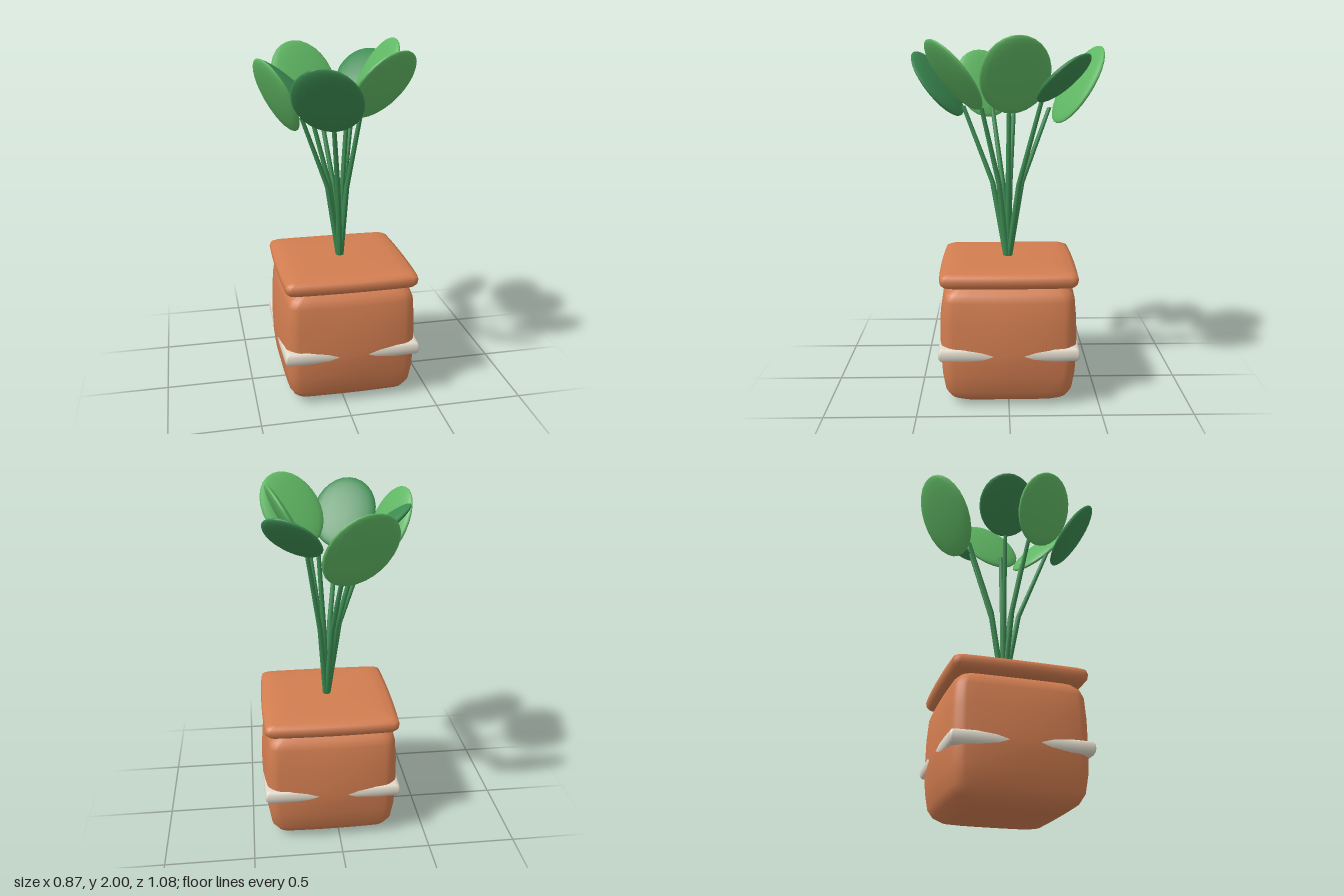
import * as THREE from 'three';

const mat = (name, color, side = THREE.FrontSide) => {
  const m = new THREE.MeshStandardMaterial({ color, side });
  m.name = name;
  return m;
};

// Rounded square outline: half width c at the corners, m at the bulging middle of each side
function outline(c, m, radius) {
  const r = Math.min(radius, c * 0.5), pts = [];
  for (let k = 0; k < 4; k++) {
    const side = [];
    for (let i = 0; i <= 8; i++) side.push([c, (c - r) * (i / 4 - 1)]);
    for (let i = 1; i < 4; i++) {
      const a = (i / 4) * Math.PI / 2;
      side.push([c - r + r * Math.cos(a), c - r + r * Math.sin(a)]);
    }
    for (let [x, z] of side) {
      for (let q = 0; q < k; q++) [x, z] = [-z, x];
      const b = (m - c) / c, u = x / c, v = z / c;
      pts.push([x + b * x * (1 - v * v), z + b * z * (1 - u * u)]);
    }
  }
  return pts;
}

// Skin of stacked outlines; each profile row is [y, corner half width, middle half width]
function loft(profile, radius) {
  const pos = [], index = [];
  let n = 0;
  for (const [y, c, m] of profile) {
    const ring = outline(c, m, radius);
    n = ring.length;
    for (const [x, z] of ring) pos.push(x, y, z);
  }
  for (let i = 0; i < profile.length - 1; i++) {
    for (let j = 0; j < n; j++) {
      const a = i * n + j, b = i * n + (j + 1) % n;
      index.push(a, a + n, b, b, a + n, b + n);
    }
  }
  const g = new THREE.BufferGeometry();
  g.setAttribute('position', new THREE.Float32BufferAttribute(pos, 3));
  g.setIndex(index);
  g.computeVertexNormals();
  return g;
}

export function createModel() {
  const terracotta = mat('terracotta', 0xd27d50);
  const cream = mat('cream', 0xe0d9ca);
  const lightGreen = mat('light green', 0x60b864);
  const darkGreen = mat('dark green', 0x3c8c52);

  const model = new THREE.Group();
  model.name = 'pottedPlant';
  const plant = new THREE.Group();
  plant.name = 'plant';
  plant.position.x = 0.04;
  const add = (name, geometry, material) => {
    const mesh = new THREE.Mesh(geometry, material);
    mesh.name = name;
    plant.add(mesh);
    return mesh;
  };

  // Pot body with softly swelling sides
  add('potBody', loft([
    [0, 0.001, 0.001], [0, 0.23, 0.24], [0.012, 0.28, 0.285], [0.04, 0.32, 0.33],
    [0.085, 0.345, 0.358], [0.18, 0.357, 0.38], [0.27, 0.36, 0.391], [0.31, 0.36, 0.392],
    [0.36, 0.36, 0.392], [0.48, 0.36, 0.386], [0.6, 0.355, 0.367], [0.64, 0.342, 0.35],
    [0.67, 0.315, 0.32], [0.69, 0.28, 0.28],
  ], 0.06), terracotta);

  // Rim slab closing the top
  add('potRim', loft([
    [0.676, 0.001, 0.001], [0.676, 0.335, 0.345], [0.684, 0.355, 0.365], [0.7, 0.368, 0.378],
    [0.725, 0.372, 0.383], [0.747, 0.366, 0.376], [0.76, 0.345, 0.35], [0.77, 0.285, 0.29],
    [0.771, 0.2, 0.2], [0.771, 0.001, 0.001],
  ], 0.035), terracotta);

  // Band that stands out at the corners and sinks into the swelling sides
  const bandEdge = [[-0.04, -0.03], [-0.034, -0.011], [-0.02, -0.003], [0, 0],
    [0.02, -0.003], [0.034, -0.011], [0.04, -0.03]];
  add('potBand', loft([
    [0.27, 0.3, 0.3], ...bandEdge.map(([y, o]) => [0.31 + y, 0.385 + o, 0.3905 + o]), [0.35, 0.3, 0.3],
  ], 0.012), cream);

  // Leaves: centre, half length, half width, lean from upright in degrees; stem tip [x, y, z]
  const leaves = [
    { c: [-0.135, 1.735, -0.4], a: 0.25, b: 0.206, lean: 31, tip: [-0.075, 1.61, -0.235], m: lightGreen },
    { c: [0.195, 1.78, -0.29], a: 0.186, b: 0.159, lean: 47, tip: [0.115, 1.66, -0.18], m: darkGreen },
    { c: [0.205, 1.795, -0.035], a: 0.231, b: 0.192, lean: 28, tip: [0.04, 1.62, -0.006], m: lightGreen },
    { c: [0.16, 1.795, 0.29], a: 0.231, b: 0.193, lean: 37, tip: [0.08, 1.62, 0.145], m: lightGreen },
    { c: [-0.15, 1.74, 0.395], a: 0.223, b: 0.186, lean: 37, tip: [-0.09, 1.62, 0.25], m: darkGreen },
    { c: [-0.37, 1.735, 0.135], a: 0.216, b: 0.175, lean: 26, tip: [-0.23, 1.6, 0.085], m: lightGreen },
    { c: [-0.295, 1.77, -0.07], a: 0.19, b: 0.16, lean: 51, tip: [-0.17, 1.64, -0.04], m: darkGreen },
  ];
  const disc = new THREE.SphereGeometry(1, 18, 14);
  for (const { c, a, b, lean, tip, m } of leaves) {
    // Blade leaning outwards along its own heading
    const centre = new THREE.Vector3(...c);
    const t = THREE.MathUtils.degToRad(lean);
    const out = new THREE.Vector3(c[0], 0, c[2]).normalize();
    const up = out.clone().multiplyScalar(Math.sin(t)).setY(Math.cos(t));
    const across = new THREE.Vector3(out.z, 0, -out.x);
    const normal = across.clone().cross(up);
    const blade = add('leaf', disc, m);
    blade.quaternion.setFromRotationMatrix(new THREE.Matrix4().makeBasis(across, up, normal));
    blade.scale.set(b, a, 0.03);
    blade.position.copy(centre);

    // Stem with one kink, sheared out of a straight cylinder
    const g = new THREE.CylinderGeometry(0.012, 0.018, 1, 10, 2);
    const p = g.attributes.position;
    for (let i = 0; i < p.count; i++) {
      const level = Math.round((p.getY(i) + 0.5) * 2);
      const f = [0.02, 0.34, 1][level];
      p.setXYZ(i, p.getX(i) + tip[0] * f, [0.75, 1.19, tip[1]][level], p.getZ(i) + tip[2] * f);
    }
    g.computeVertexNormals();
    add('stem', g, darkGreen);
  }

  model.add(plant);
  return model;
}
